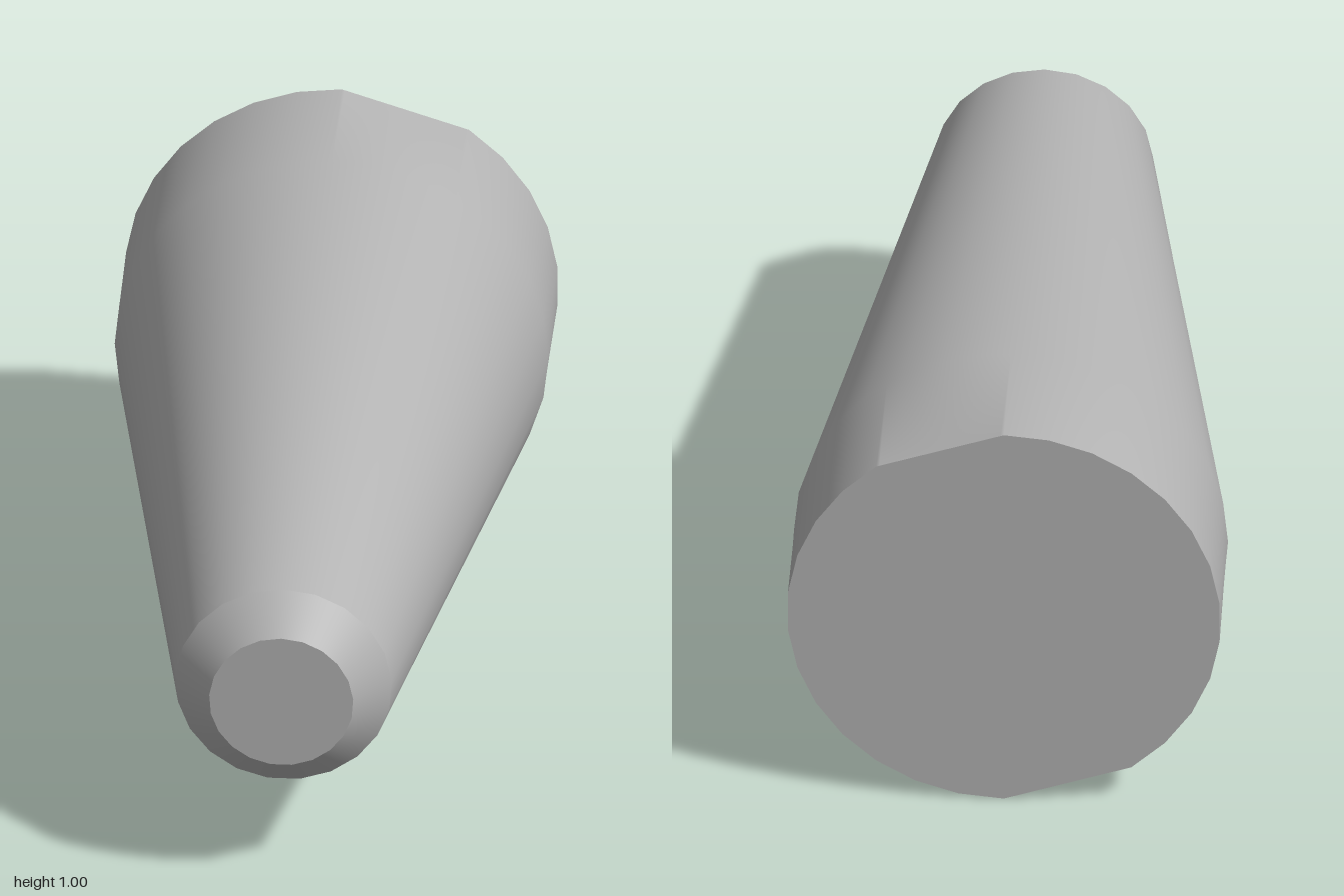
import * as THREE from 'three';

const N = 420; // samples round the axis; fits the 21-, 30- and 60-step rings
const DEG = Math.PI / 180;

// Distance to a chord of a circle, seen from the centre at angle t
const chord = (r, t, mid, half) => r * Math.cos(half) / Math.cos(t - mid);

// Radius of a regular polygon with a corner at angle `start`
const polygon = (r, sides, start) => (t) => {
  const step = 2 * Math.PI / sides;
  const k = Math.floor((t - start) / step + 1e-6);
  return chord(r, t, start + (k + 0.5) * step, step / 2);
};

// Rear outline: a round ring with two opposite flats
const inFlat = (t) => {
  const a = (t / DEG) % 180;
  return a > 54.01 && a < 89.99;
};
const flatMid = (t) => (t < Math.PI ? 72 : 252) * DEG;
const rearRound = polygon(0.5, 30, 6 * DEG);
const rear = (t) => inFlat(t) ? chord(0.5, t, flatMid(t), 18 * DEG) : rearRound(t);
const rearNormal = (t) => inFlat(t) ? flatMid(t) : t;

// Smooth skin through rings listed from front to back; nz is the forward lean of the normal
function skin(rings) {
  const pos = [], nor = [], idx = [];
  rings.forEach(({ z, radius, nz, turn = (t) => t }, i) => {
    for (let j = 0; j <= N; j++) {
      const t = (j % N) / N * 2 * Math.PI;
      const r = radius(t), a = turn(t), len = Math.hypot(1, nz);
      pos.push(r * Math.cos(t), r * Math.sin(t), z);
      nor.push(Math.cos(a) / len, Math.sin(a) / len, nz / len);
      if (i > 0 && j < N) {
        const c = i * (N + 1) + j, p = c - N - 1;
        idx.push(p, c, p + 1, p + 1, c, c + 1);
      }
    }
  });
  const g = new THREE.BufferGeometry();
  g.setAttribute('position', new THREE.Float32BufferAttribute(pos, 3));
  g.setAttribute('normal', new THREE.Float32BufferAttribute(nor, 3));
  g.setIndex(idx);
  return g;
}

// Flat end disc following a ring outline
function cap(radius, z, facesBack) {
  const pts = [];
  for (let j = 0; j < N; j++) {
    const t = j / N * 2 * Math.PI;
    pts.push(new THREE.Vector2(radius(t) * Math.cos(t) * (facesBack ? -1 : 1), radius(t) * Math.sin(t)));
  }
  const g = new THREE.ShapeGeometry(new THREE.Shape(pts));
  if (facesBack) g.rotateY(Math.PI);
  return g.translate(0, 0, z);
}

export function createModel() {
  const grey = new THREE.MeshStandardMaterial({ color: 0xb3b3b3 });
  grey.name = 'plain grey';
  const group = new THREE.Group();
  group.name = 'taperedPlug';
  const add = (name, geometry) => {
    const mesh = new THREE.Mesh(geometry, grey);
    mesh.name = name;
    mesh.position.y = 0.5;
    group.add(mesh);
  };

  const tip = polygon(1 / 6, 21, Math.PI / 2);
  const shoulder = polygon(0.25, 21, Math.PI / 2);
  const waist = polygon(0.5, 30, 0);

  // Long taper running into the straight rear collar
  add('taperedBody', skin([
    { z: 0.917, radius: shoulder, nz: 0.158 },
    { z: -0.66, radius: waist, nz: 0.08 },
    { z: -1, radius: rear, nz: 0, turn: rearNormal },
  ]));
  // Bevel round the narrow end
  add('tipBevel', skin([
    { z: 1, radius: tip, nz: 1 },
    { z: 0.917, radius: shoulder, nz: 1 },
  ]));
  add('tipFace', cap(tip, 1, false));
  add('rearFace', cap(rear, -1, true));
  return group;
}
